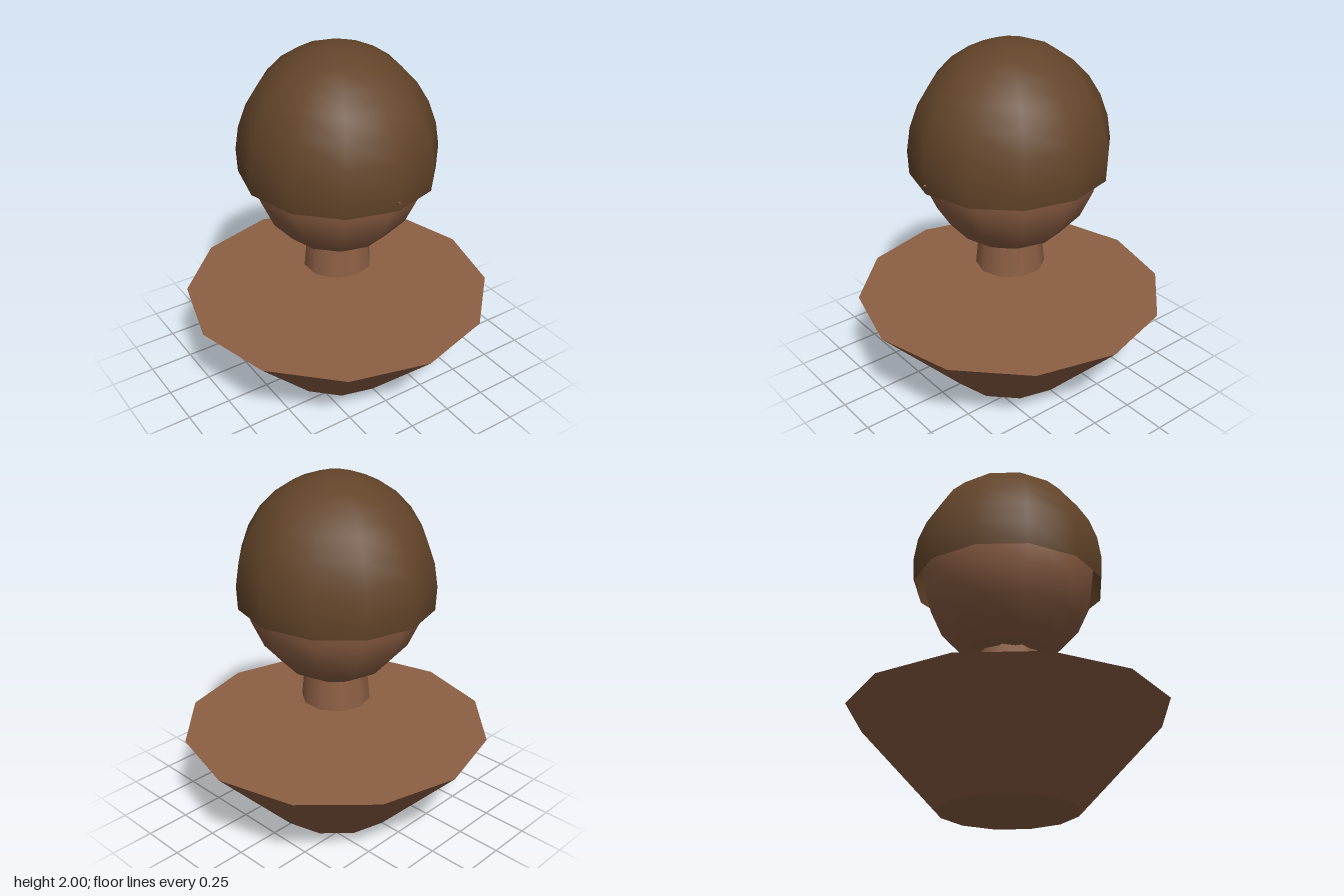
import * as THREE from 'three';

export function createModel() {
  const model = new THREE.Group();
  model.name = 'bust';

  const skin = new THREE.MeshStandardMaterial({ color: 0x8d5f44 });
  skin.name = 'skin brown';
  const hairBrown = new THREE.MeshStandardMaterial({ color: 0x634429, side: THREE.DoubleSide });
  hairBrown.name = 'hair brown';

  const add = (name, geometry, material, y, z = 0) => {
    const mesh = new THREE.Mesh(geometry, material);
    mesh.name = name;
    mesh.position.set(0, y, z);
    model.add(mesh);
    return mesh;
  };

  // Shoulders: twelve-sided frustum, widest at the top
  add('shoulders', new THREE.CylinderGeometry(0.872, 0.375, 0.53, 12), skin, 0.265);

  // Neck: slightly tapered, reaching up into the head
  add('neck', new THREE.CylinderGeometry(0.168, 0.195, 0.27, 10), skin, 0.835);

  // Head: slightly tall ellipsoid
  add('head', new THREE.SphereGeometry(1, 12, 10), skin, 1.393).scale.set(0.5, 0.56, 0.5);

  // Nose: small cone whose tip just pokes through the hair
  const nose = add('nose', new THREE.ConeGeometry(0.06, 0.16, 8), skin, 1.34, 0.49);
  nose.rotation.x = Math.PI / 2;

  // Hair: open cap ending just below the widest line
  const cap = new THREE.SphereGeometry(1, 12, 8, 0, Math.PI * 2, 0, Math.PI * 0.55);
  add('hair', cap, hairBrown, 1.386).scale.set(0.54, 0.614, 0.56);

  return model;
}
